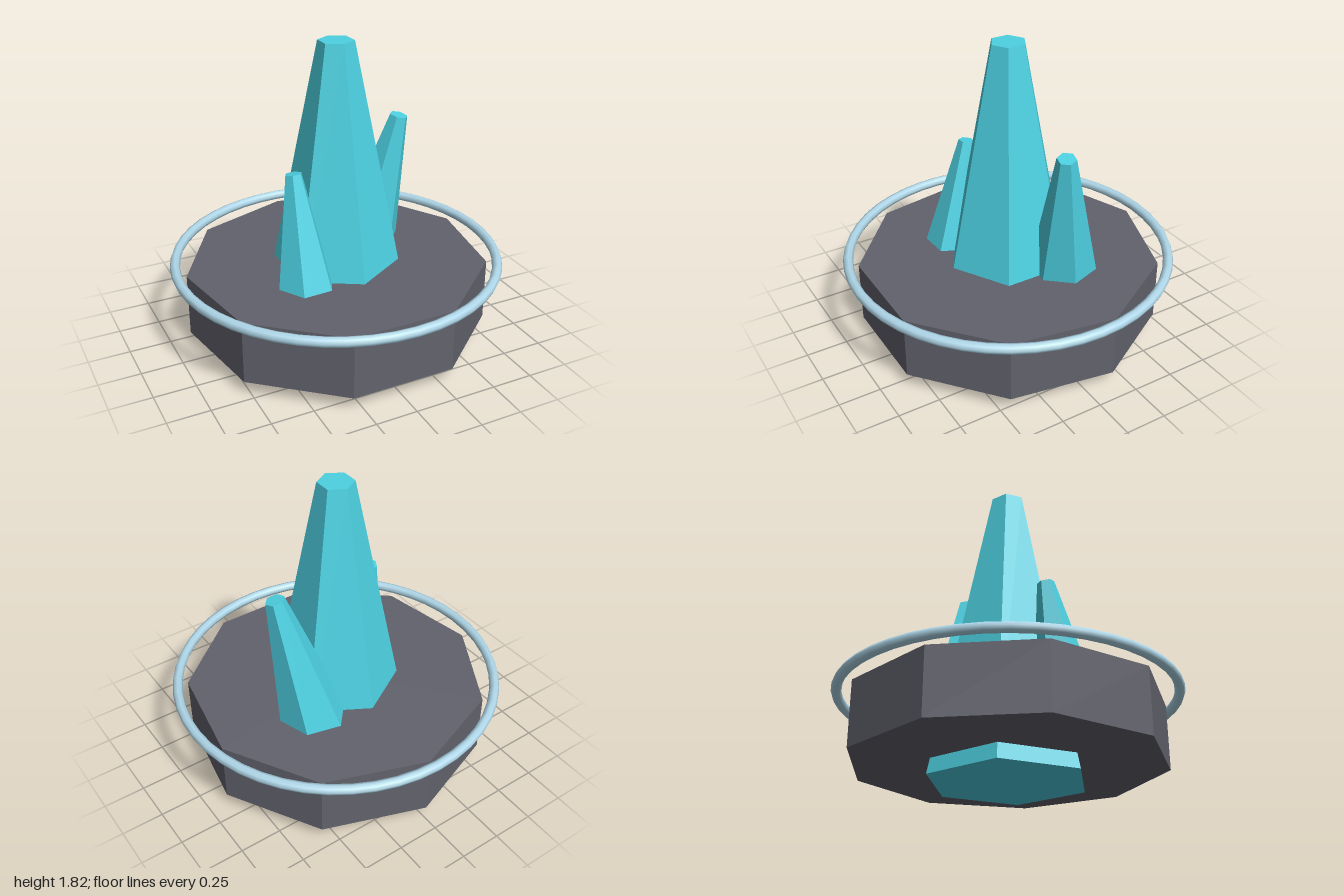
import * as THREE from 'three';

const rock = new THREE.MeshStandardMaterial({ color: 0x62626d, flatShading: true });
const crystal = new THREE.MeshStandardMaterial({ color: 0x4dd0e1, flatShading: true });
const metal = new THREE.MeshStandardMaterial({ color: 0xb0d8ea });

// Six-sided tapered crystal running from a foot point to a tip point, twisted about its own axis
function makeCrystal(name, foot, tip, footRadius, tipRadius, twist = 0) {
  const axis = new THREE.Vector3().subVectors(tip, foot);
  const geometry = new THREE.CylinderGeometry(tipRadius, footRadius, axis.length(), 6);
  geometry.rotateY(THREE.MathUtils.degToRad(twist));
  const mesh = new THREE.Mesh(geometry, crystal);
  mesh.name = name;
  mesh.position.copy(foot).addScaledVector(axis, 0.5);
  mesh.quaternion.setFromUnitVectors(new THREE.Vector3(0, 1, 0), axis.normalize());
  return mesh;
}

// Side crystal measured at the base top, with its root continued down into the base
function makeSideCrystal(name, surface, tip, surfaceRadius, tipRadius, twist) {
  const root = 0.25;
  const foot = new THREE.Vector3().lerpVectors(surface, tip, -root);
  const footRadius = surfaceRadius + (surfaceRadius - tipRadius) * root;
  return makeCrystal(name, foot, tip, footRadius, tipRadius, twist);
}

export function createModel() {
  const group = new THREE.Group();
  group.name = 'crystalPedestal';
  const v = (x, y, z) => new THREE.Vector3(x, y, z);

  // Nine-sided stone base, one corner pointing to the back
  const base = new THREE.Mesh(new THREE.CylinderGeometry(0.91, 0.91, 0.38, 9), rock);
  base.name = 'base';
  base.position.y = 0.28;
  base.rotation.y = Math.PI;
  group.add(base);

  // Ring floating around the rim of the base
  const ring = new THREE.Mesh(new THREE.TorusGeometry(0.97, 0.03, 8, 48), metal);
  ring.name = 'ring';
  ring.position.y = 0.49;
  ring.rotation.x = Math.PI / 2;
  group.add(ring);

  // Tall central crystal passing through the base, and two leaning side crystals
  group.add(
    makeCrystal('mainCrystal', v(0, 0, 0), v(0, 1.82, 0), 0.474, 0.105),
    makeSideCrystal('leftCrystal', v(0.312, 0.47, -0.195), v(0.465, 1.285, -0.09), 0.2, 0.056, 19),
    makeSideCrystal('rightCrystal', v(-0.298, 0.47, 0.211), v(-0.315, 1.115, 0.1), 0.17, 0.05, 33)
  );
  return group;
}
